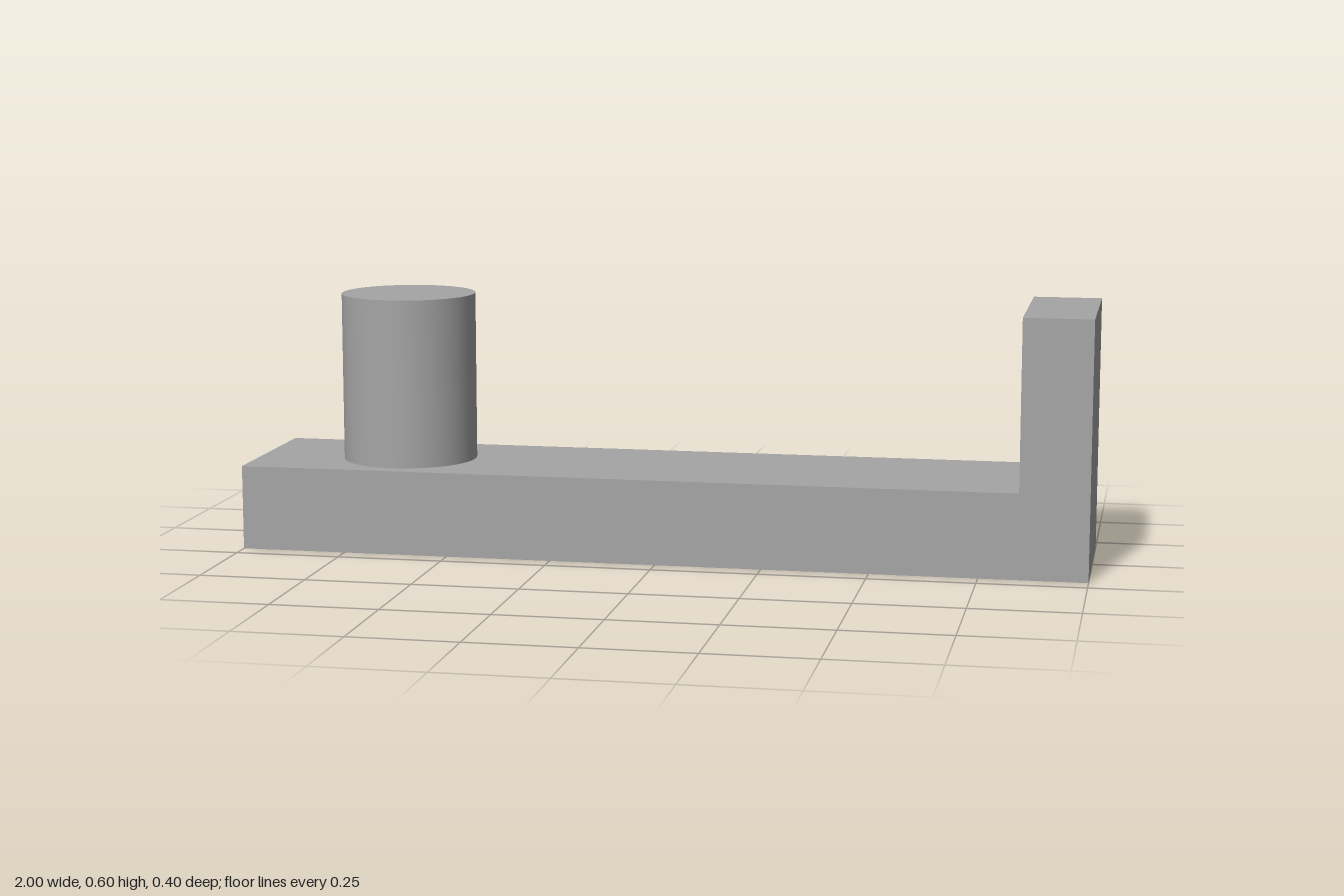
import * as THREE from 'three';

export function createModel() {
  const group = new THREE.Group();
  const material = new THREE.MeshStandardMaterial({ color: 0xa5a5a5 });
  const add = (name, geometry) => {
    const mesh = new THREE.Mesh(geometry, material);
    mesh.name = name;
    group.add(mesh);
    return mesh;
  };

  // L-shaped bracket: flat base bar with an upright end wall on +x
  const depth = 0.4;
  const profile = new THREE.Shape([
    [-1, 0], [1, 0], [1, 0.6], [0.84, 0.6], [0.84, 0.2], [-1, 0.2],
  ].map(([x, y]) => new THREE.Vector2(x, y)));
  const bracket = new THREE.ExtrudeGeometry(profile, { depth, bevelEnabled: false });
  add('bracket', bracket.translate(0, 0, -depth / 2));

  // Round post standing on the base near the other end
  add('post', new THREE.CylinderGeometry(0.16, 0.16, 0.4, 64)).position.set(-0.64, 0.4, 0);

  return group;
}
